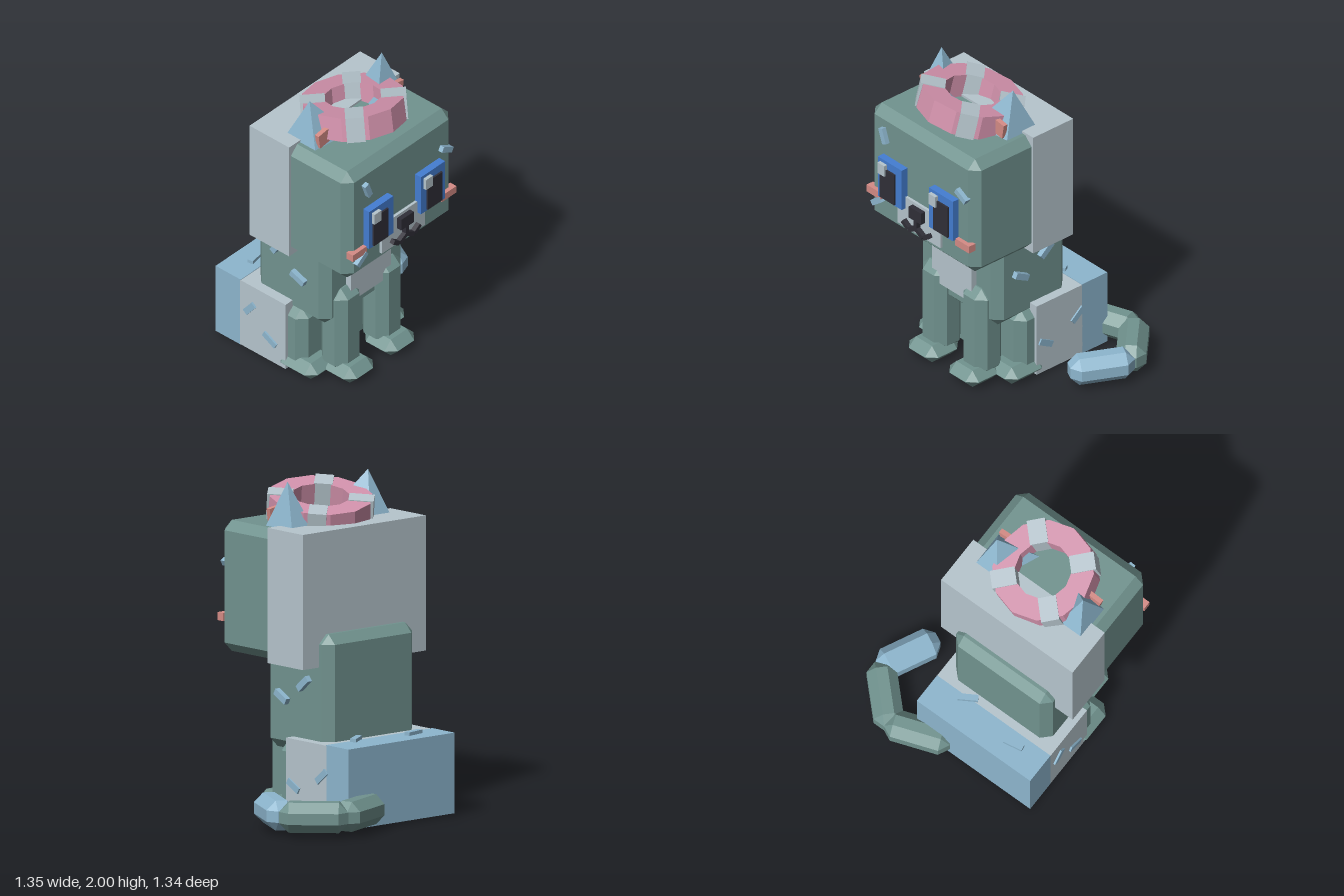
import * as THREE from 'three';
import { ConvexGeometry } from 'three/addons/geometries/ConvexGeometry.js';

const CX = -0.19; // the cat's own centre line; the tail sweeps out to +x
const BEVEL = 0.056;

function makeMaterials() {
  const colors = {
    fur: 0x71938f, patch: 0xb6c5cd, stripe: 0x8db6ce, ringPink: 0xd191ab,
    skin: 0xd68c86, iris: 0x447ed2, dark: 0x302f38,
  };
  const mats = {};
  for (const [name, color] of Object.entries(colors)) {
    mats[name] = new THREE.MeshStandardMaterial({ color });
    mats[name].name = name;
  }
  return mats;
}

// Box with every edge and corner chamfered
function chamferBox(w, h, d, b = BEVEL) {
  const pts = [];
  for (const x of [-1, 1]) for (const y of [-1, 1]) for (const z of [-1, 1]) {
    const [X, Y, Z] = [w / 2, h / 2, d / 2];
    pts.push(new THREE.Vector3(x * X, y * (Y - b), z * (Z - b)));
    pts.push(new THREE.Vector3(x * (X - b), y * Y, z * (Z - b)));
    pts.push(new THREE.Vector3(x * (X - b), y * (Y - b), z * Z));
  }
  return new ConvexGeometry(pts);
}

export function createModel() {
  const M = makeMaterials();
  const model = new THREE.Group();
  model.name = 'cat';

  const add = (name, geo, mat, x, y, z, parent = model) => {
    const mesh = new THREE.Mesh(geo, mat);
    mesh.name = name;
    mesh.position.set(x, y, z);
    parent.add(mesh);
    return mesh;
  };
  // Parts given by their limits [min, max] on each axis
  const mid = (r) => (r[0] + r[1]) / 2, len = (r) => r[1] - r[0];
  const block = (name, mat, x, y, z) =>
    add(name, new THREE.BoxGeometry(len(x), len(y), len(z)), mat, mid(x), mid(y), mid(z));
  const furBlock = (name, x, y, z) =>
    add(name, chamferBox(len(x), len(y), len(z)), M.fur, mid(x), mid(y), mid(z));

  // Head, torso and hindquarters, with their coat patches
  furBlock('head', [-0.66, 0.28], [0.945, 1.73], [-0.13, 0.6]);
  block('headPatch', M.patch, [-0.675, 0.295], [0.935, 1.745], [-0.167, 0.148]);
  furBlock('torso', [-0.547, 0.167], [0.4, 1.13], [-0.245, 0.32]);
  block('chestPatch', M.patch, [-0.365, -0.015], [0.53, 0.97], [0.28, 0.36]);
  furBlock('hindquarters', [-0.59, 0.207], [0.003, 0.46], [-0.47, 0.175]);
  block('haunchPatch', M.patch, [-0.61, 0.227], [0.015, 0.492], [-0.3, 0.06]);
  block('rumpPatch', M.stripe, [-0.61, 0.227], [0.013, 0.496], [-0.496, -0.297]);

  // Paired parts
  for (const s of [-1, 1]) {
    const side = s > 0 ? 'left' : 'right';
    const X = (off) => CX + s * off;
    add(side + 'FrontLeg', chamferBox(0.21, 0.6, 0.21), M.fur, X(0.18), 0.34, 0.28);
    add(side + 'FrontPaw', chamferBox(0.255, 0.114, 0.26), M.fur, X(0.18), 0.06, 0.345);
    add(side + 'HindPaw', chamferBox(0.25, 0.114, 0.3), M.fur, X(0.31), 0.06, 0.13);

    // Ear: four-sided spike leaning outward
    const base = [[0.39, 0.035], [0.225, 0.035], [0.11, 0.305], [0.39, 0.27]];
    const pts = base.map(([x, z]) => new THREE.Vector3(X(x), 1.725, z));
    pts.push(new THREE.Vector3(X(0.317), 2.0, 0.158));
    add(side + 'Ear', new ConvexGeometry(pts), M.stripe, 0, 0, 0);
    const inner = add(side + 'InnerEar', new THREE.BoxGeometry(0.105, 0.095, 0.03), M.skin, X(0.315), 1.79, 0.267);
    inner.rotation.z = -s * 0.15;

    // Face
    add(side + 'Iris', new THREE.BoxGeometry(0.212, 0.275, 0.06), M.iris, X(0.227), 1.298, 0.617);
    add(side + 'Cheek', new THREE.BoxGeometry(0.125, 0.048, 0.05), M.skin, X(0.392), 1.147, 0.602);
    const px = s > 0 ? 0.044 : -0.43;
    add(side + 'Pupil', new THREE.BoxGeometry(0.13, 0.21, 0.03), M.dark, px, 1.277, 0.644);
    add(side + 'EyeGlint', new THREE.BoxGeometry(0.06, 0.074, 0.03), M.patch, s > 0 ? -0.018 : -0.47, 1.377, 0.655);
    const low = add(side + 'MouthInner', new THREE.BoxGeometry(0.068, 0.028, 0.03), M.dark, X(0.033), 1.068, 0.635);
    low.rotation.z = -s * 0.5;
    const up = add(side + 'MouthOuter', new THREE.BoxGeometry(0.06, 0.028, 0.03), M.dark, X(0.092), 1.07, 0.635);
    up.rotation.z = s * 0.6;
  }
  block('muzzle', M.patch, [-0.38, 0], [1.03, 1.24], [0.56, 0.618]);
  block('nose', M.dark, [-0.245, -0.135], [1.142, 1.22], [0.6, 0.65]);
  block('mouthStem', M.dark, [CX - 0.013, CX + 0.013], [1.07, 1.145], [0.61, 0.65]);

  // Tail: three chamfered links lying near the ground
  const links = [
    ['tailBase', M.fur, [-0.01, -0.47], [0.376, -0.607]],
    ['tailMiddle', M.fur, [0.333, -0.618], [0.622, -0.329]],
    ['tailTip', M.stripe, [0.615, -0.358], [0.44, -0.004]],
  ];
  for (const [name, mat, a, b] of links) {
    const dx = b[0] - a[0], dz = b[1] - a[1];
    const link = add(name, chamferBox(0.18, 0.18, Math.hypot(dx, dz)), mat, (a[0] + b[0]) / 2, 0.12, (a[1] + b[1]) / 2);
    link.rotation.y = Math.atan2(dx, dz);
  }

  // Swim ring tilted on the head
  const ring = new THREE.Group();
  ring.name = 'swimRing';
  ring.position.set(-0.185, 1.803, 0.218);
  ring.rotation.set(-0.19, 0, -0.1);
  model.add(ring);
  const section = [[0.315, -0.075], [0.308, 0.075], [0.172, 0.075], [0.172, -0.075], [0.315, -0.075]];
  const ringGeo = new THREE.LatheGeometry(section.map((p) => new THREE.Vector2(...p)), 12).toNonIndexed();
  ringGeo.computeVertexNormals();
  add('ringBody', ringGeo, M.ringPink, 0, 0, 0, ring);
  for (let i = 0; i < 4; i++) {
    const a = Math.PI / 4 + i * Math.PI / 2;
    const band = add('ringBand', new THREE.BoxGeometry(0.11, 0.16, 0.15), M.patch, Math.sin(a) * 0.24, 0, Math.cos(a) * 0.24, ring);
    band.rotation.y = a;
  }

  // Coat stripes: small bars on the face, flanks and rump
  const bar = (name, size, pos, axis, angle) => {
    const m = add(name, new THREE.BoxGeometry(...size), M.stripe, ...pos);
    m.rotation[axis] = angle;
  };
  bar('faceStripe', [0.1, 0.036, 0.04], [-0.505, 1.575, 0.61], 'z', -1.22);
  bar('faceStripe', [0.098, 0.036, 0.04], [0.187, 1.485, 0.61], 'z', -0.5);
  bar('faceStripe', [0.1, 0.036, 0.04], [-0.56, 1.095, 0.61], 'z', 0.65);
  const flank = [0.04, 0.04, 0.11];
  bar('flankStripe', flank, [0.18, 0.722, 0.145], 'x', -0.48);
  bar('flankStripe', flank, [0.18, 0.825, -0.05], 'x', 0.7);
  bar('flankStripe', flank, [-0.56, 0.7, 0.12], 'x', 0.35);
  bar('flankStripe', flank, [-0.56, 0.848, -0.05], 'x', -1.05);
  bar('haunchStripe', flank, [0.217, 0.302, -0.26], 'x', 0.7);
  bar('haunchStripe', flank, [0.217, 0.212, -0.01], 'x', -0.5);
  bar('haunchStripe', flank, [-0.602, 0.325, -0.22], 'x', -0.9);
  bar('haunchStripe', flank, [-0.602, 0.175, -0.06], 'x', 0.5);
  bar('rumpStripe', [0.122, 0.04, 0.038], [-0.395, 0.497, -0.372], 'y', 0.18);
  bar('rumpStripe', [0.122, 0.04, 0.038], [-0.005, 0.497, -0.302], 'y', 0.55);

  return model;
}
